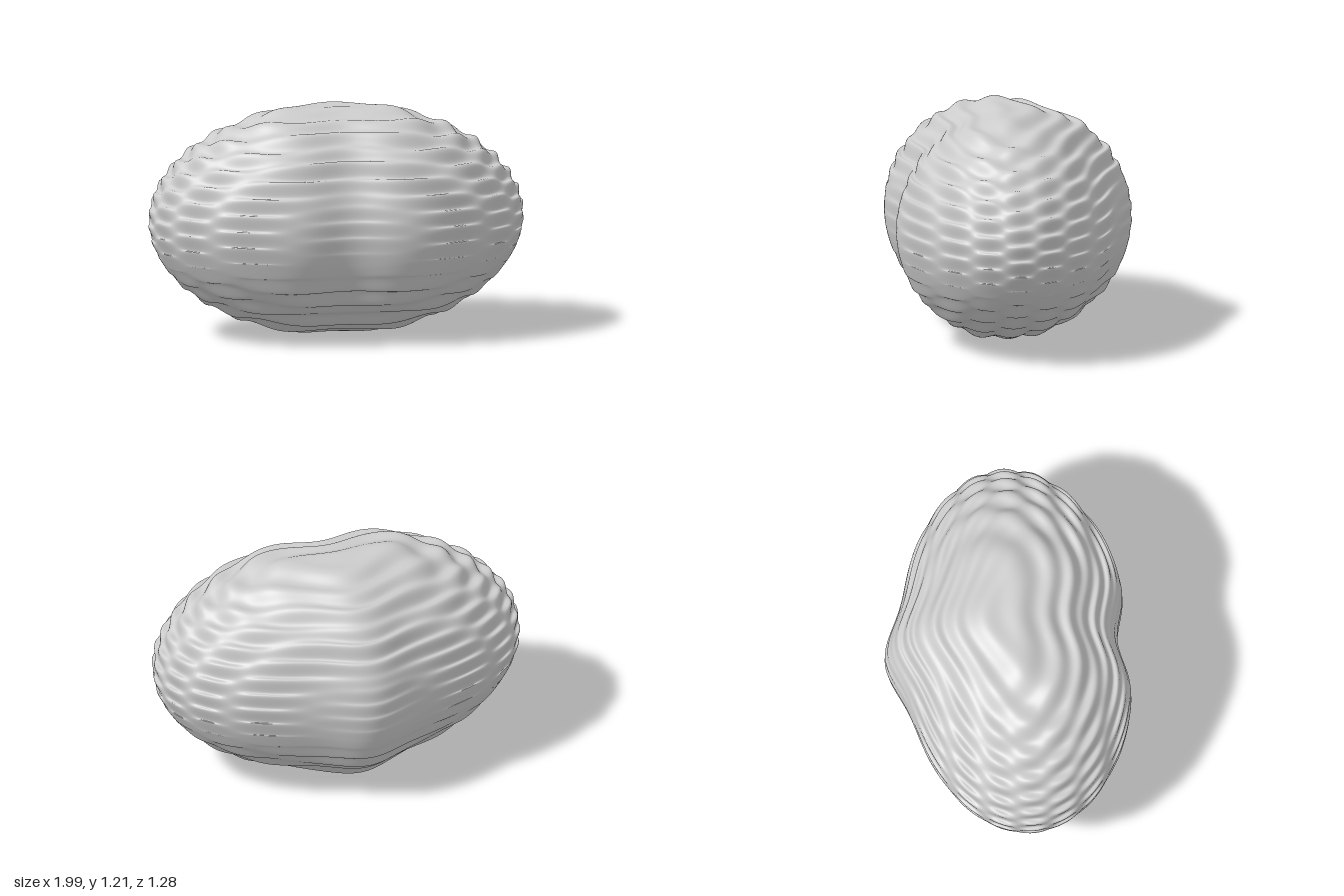
import * as THREE from 'three';

const ROWS = 280, COLS = 240;
const CENTRE = 0.603;
const RADII = new THREE.Vector3(0.988, 0.598, 0.612);
const PERIOD = 0.0857, COLUMN = 0.165, CREST = 1.172;

// Raised scales: rows in height, alternating by half a row between columns in depth
function ripple(y, z) {
  return Math.cos((2 * Math.PI * (y - CREST)) / PERIOD) * Math.cos((Math.PI * z) / COLUMN);
}

// Backward bend of the middle: a notch between two front lobes, a tip behind
function bend(x) {
  return 0.06 - 0.086 * Math.exp(-((x / 0.2) ** 2));
}

function surfacePoint(theta, phi) {
  const s = Math.sin(phi), c = Math.cos(phi);
  const p = new THREE.Vector3(s * Math.sin(theta), c, s * Math.cos(theta)).multiply(RADII);
  p.y += CENTRE;
  const r = ripple(p.y, p.z);
  // Every scale is lifted, most towards the top and bottom, and pushed outwards
  p.z += 0.008 * r * p.z + bend(p.x);
  p.x += 0.011 * r * p.x;
  p.y += (0.013 + 0.009 * Math.abs(c)) * r;
  return p.toArray();
}

function bodyGeometry() {
  // Top pole, rings, bottom pole
  const pos = [...surfacePoint(0, 0)], index = [];
  for (let i = 1; i < ROWS; i++) {
    for (let j = 0; j < COLS; j++) {
      pos.push(...surfacePoint((2 * Math.PI * j) / COLS, (Math.PI * i) / ROWS));
    }
  }
  pos.push(...surfacePoint(0, Math.PI));
  const last = pos.length / 3 - 1;
  const at = (i, j) => 1 + (i - 1) * COLS + (j % COLS);

  for (let j = 0; j < COLS; j++) {
    index.push(0, at(1, j), at(1, j + 1));
    for (let i = 1; i < ROWS - 1; i++) {
      const a = at(i, j), b = at(i + 1, j), c = at(i + 1, j + 1), d = at(i, j + 1);
      index.push(a, b, c, a, c, d);
    }
    index.push(at(ROWS - 1, j), last, at(ROWS - 1, j + 1));
  }

  const g = new THREE.BufferGeometry();
  g.setAttribute('position', new THREE.Float32BufferAttribute(pos, 3));
  g.setIndex(index);
  g.computeVertexNormals();
  return g;
}

export function createModel() {
  const group = new THREE.Group();
  group.name = 'rippledShell';
  const body = new THREE.Mesh(bodyGeometry(), new THREE.MeshStandardMaterial({ color: 0xcccccc }));
  body.name = 'shellBody';
  group.add(body);
  return group;
}
